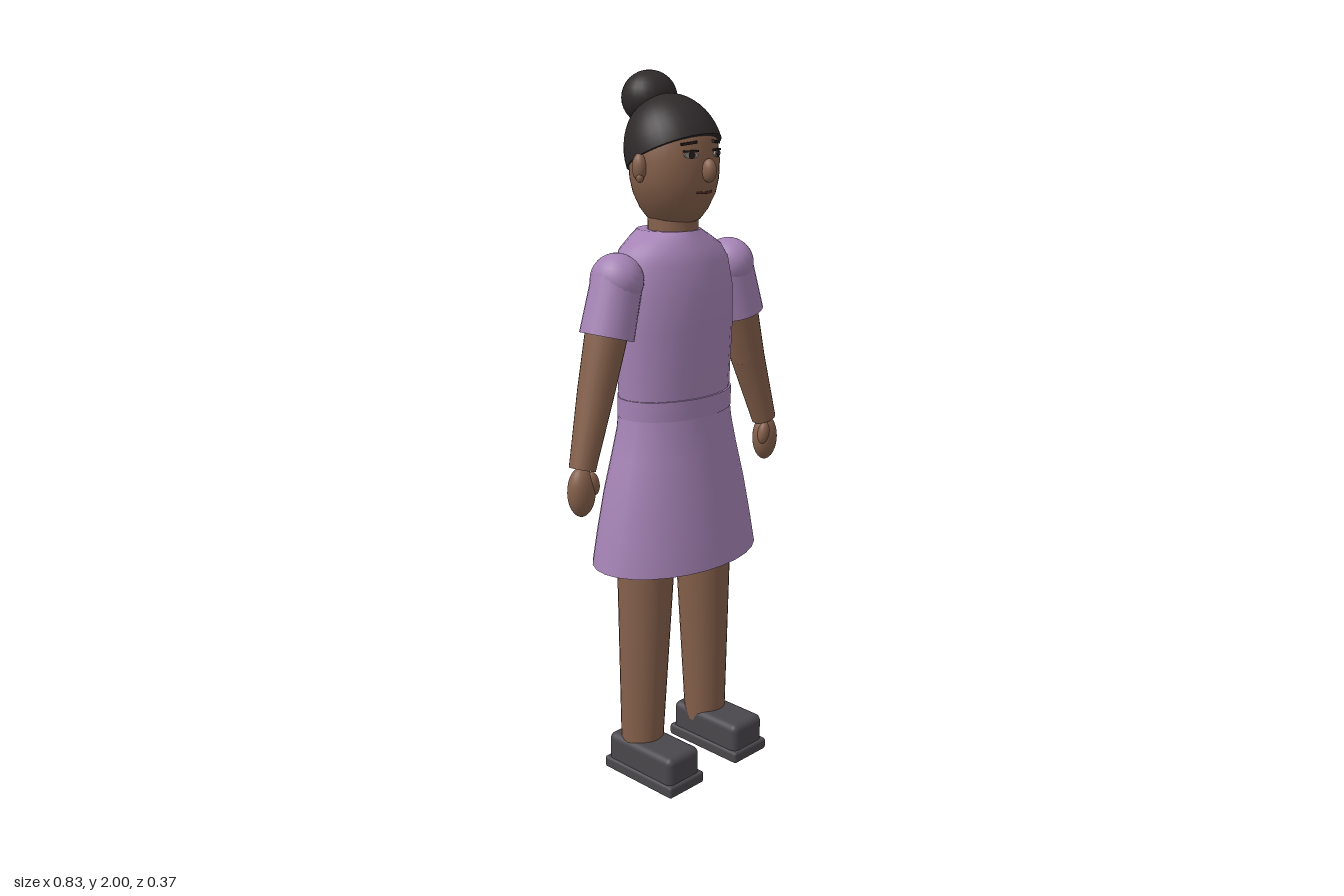
import * as THREE from 'three';
import { RoundedBoxGeometry } from 'three/addons/geometries/RoundedBoxGeometry.js';

const mat = (name, color) => {
  const m = new THREE.MeshStandardMaterial({ color });
  m.name = name;
  return m;
};

export function createModel() {
  const skin = mat('skin', 0x85604b);
  const cloth = mat('dressLilac', 0xa583b5);
  const hair = mat('hairBlack', 0x2f292a);
  const leather = mat('shoeGrey', 0x4a474c);
  const eyeGrey = mat('eyeGrey', 0x8c827c);
  const dark = mat('eyeDark', 0x231b19);
  const lip = mat('lipBrown', 0x5a352e);

  const model = new THREE.Group();
  model.name = 'woman';

  const add = (name, geo, material, pos = [0, 0, 0], parent = model) => {
    const mesh = new THREE.Mesh(geo, material);
    mesh.name = name;
    mesh.position.set(...pos);
    parent.add(mesh);
    return mesh;
  };
  const group = (name) => {
    const g = new THREE.Group();
    g.name = name;
    model.add(g);
    return g;
  };
  const ball = (name, radii, material, pos, parent) =>
    add(name, new THREE.SphereGeometry(1, 24, 16).scale(...radii), material, pos, parent);

  // Tapered round limb between two points
  const limb = (name, a, b, ra, rb, material, parent) => {
    const p = new THREE.Vector3(...a), q = new THREE.Vector3(...b);
    const dir = p.clone().sub(q);
    const mesh = add(name, new THREE.CylinderGeometry(ra, rb, dir.length(), 24), material,
      p.clone().add(q).multiplyScalar(0.5).toArray(), parent);
    mesh.quaternion.setFromUnitVectors(new THREE.Vector3(0, 1, 0), dir.normalize());
    return mesh;
  };

  // Closed loft through oval rings [y, half width, front z, back z], bottom to top
  const loft = (rings, sides = 28) => {
    const pos = [], index = [];
    const ring = ([y, rx, zf, zb]) => {
      for (let i = 0; i <= sides; i++) {
        const t = (i / sides) * Math.PI * 2;
        pos.push(rx * Math.sin(t), y, (zf + zb) / 2 + ((zf - zb) / 2) * Math.cos(t));
      }
    };
    rings.forEach(ring);
    const w = sides + 1;
    for (let r = 0; r < rings.length - 1; r++) {
      for (let i = 0; i < sides; i++) {
        const a = r * w + i;
        index.push(a, a + 1, a + w + 1, a, a + w + 1, a + w);
      }
    }
    // Separate rings give the end caps a sharp edge
    [rings[0], rings[rings.length - 1]].forEach((end, top) => {
      const start = pos.length / 3;
      ring(end);
      for (let i = 1; i < sides - 1; i++) {
        if (top) index.push(start, start + i, start + i + 1);
        else index.push(start, start + i + 1, start + i);
      }
    });
    const geo = new THREE.BufferGeometry();
    geo.setAttribute('position', new THREE.Float32BufferAttribute(pos, 3));
    geo.setIndex(index);
    geo.computeVertexNormals();
    // Match the normals where each ring closes
    const n = geo.attributes.normal;
    rings.forEach((_, r) => {
      const a = r * w, b = a + sides;
      const v = new THREE.Vector3().fromBufferAttribute(n, a)
        .add(new THREE.Vector3().fromBufferAttribute(n, b)).normalize();
      n.setXYZ(a, v.x, v.y, v.z);
      n.setXYZ(b, v.x, v.y, v.z);
    });
    return geo;
  };

  // Dress
  add('skirt', loft([
    [0.655, 0.277, 0.186, -0.186], [0.75, 0.26, 0.173, -0.174], [0.86, 0.238, 0.156, -0.158],
    [0.97, 0.209, 0.138, -0.14], [1.04, 0.192, 0.128, -0.129], [1.1, 0.184, 0.123, -0.125],
  ]), cloth);
  add('belt', loft([[1.08, 0.188, 0.127, -0.128], [1.135, 0.188, 0.127, -0.128]]), cloth);
  add('bodice', loft([
    [1.09, 0.183, 0.119, -0.122], [1.2, 0.188, 0.122, -0.125], [1.32, 0.195, 0.126, -0.13],
    [1.42, 0.196, 0.124, -0.131], [1.5, 0.187, 0.108, -0.129], [1.535, 0.167, 0.093, -0.125],
    [1.565, 0.12, 0.076, -0.119], [1.583, 0.086, 0.066, -0.113],
  ]), cloth);

  // Neck and head
  add('neck', new THREE.CylinderGeometry(0.068, 0.072, 0.16, 24), skin, [0, 1.57, -0.008]);
  add('head', loft([
    [1.602, 0.045, 0.052, -0.06], [1.612, 0.066, 0.072, -0.08], [1.64, 0.09, 0.092, -0.099],
    [1.68, 0.112, 0.109, -0.114], [1.72, 0.123, 0.116, -0.121], [1.77, 0.126, 0.117, -0.123],
    [1.82, 0.119, 0.111, -0.117], [1.86, 0.103, 0.096, -0.102], [1.9, 0.07, 0.064, -0.07],
    [1.922, 0.025, 0.022, -0.028],
  ], 32), skin);
  ball('nose', [0.018, 0.031, 0.022], skin, [0, 1.746, 0.125]);

  // Hair: a tilted cap, higher at the forehead, with a bun
  const cap = group('hairCap');
  cap.position.set(0, 1.785, -0.003);
  cap.rotation.x = -0.43;
  add('hairDome', new THREE.SphereGeometry(1, 32, 12, 0, Math.PI * 2, 0, Math.PI / 2)
    .scale(0.133, 0.16, 0.134), hair, [0, 0, 0], cap);
  add('hairUnderside', new THREE.CircleGeometry(1, 32).rotateX(Math.PI / 2)
    .scale(0.133, 1, 0.134), hair, [0, 0, 0], cap);
  ball('hairBun', [0.079, 0.073, 0.073], hair, [0, 1.927, -0.096]);

  // Thin plates laid on the face
  const plate = (name, geo, material, x, y, z) => {
    const mesh = add(name, geo, material, [x, y, z]);
    mesh.rotation.y = x * 8;
    return mesh;
  };
  const disc = (rx, ry, d) =>
    new THREE.CylinderGeometry(1, 1, d, 20).rotateX(Math.PI / 2).scale(rx, ry, 1);

  for (const s of [-1, 1]) {
    const side = s > 0 ? 'left' : 'right';

    // Eyes, brows and ears
    plate(side + 'Eye', disc(0.02, 0.009, 0.006), eyeGrey, s * 0.049, 1.787, 0.107);
    plate(side + 'Pupil', disc(0.009, 0.009, 0.008), dark, s * 0.049, 1.787, 0.108);
    plate(side + 'Lid', new THREE.BoxGeometry(0.042, 0.005, 0.009), dark, s * 0.049, 1.797, 0.106);
    plate(side + 'Brow', new THREE.BoxGeometry(0.045, 0.007, 0.009), dark, s * 0.051, 1.817, 0.1)
      .rotation.z = -s * 0.12;
    ball(side + 'Ear', [0.018, 0.036, 0.021], skin, [s * 0.13, 1.755, -0.004]);
    ball(side + 'EarLobe', [0.01, 0.013, 0.01], skin, [s * 0.135, 1.728, 0.003]);

    // Arm with puffed sleeve
    const arm = group(side + 'Arm');
    ball('shoulderPuff', [0.068, 0.072, 0.076], cloth, [s * 0.219, 1.468, 0], arm);
    limb('sleeve', [s * 0.218, 1.47, 0], [s * 0.26, 1.322, 0.002], 0.069, 0.074, cloth, arm);
    limb('upperArm', [s * 0.24, 1.4, 0], [s * 0.304, 1.18, 0.004], 0.061, 0.05, skin, arm);
    ball('elbow', [0.05, 0.05, 0.05], skin, [s * 0.304, 1.18, 0.004], arm);
    limb('forearm', [s * 0.304, 1.18, 0.004], [s * 0.368, 0.983, 0.016], 0.05, 0.036, skin, arm);
    ball('hand', [0.041, 0.069, 0.034], skin, [s * 0.373, 0.923, 0.017], arm);
    ball('thumb', [0.018, 0.034, 0.017], skin, [s * 0.347, 0.944, 0.034], arm)
      .rotation.z = -s * 0.2;

    // Leg and shoe
    const leg = group(side + 'Leg');
    limb('leg', [s * 0.117, 0.7, 0], [s * 0.135, 0.08, -0.003], 0.084, 0.061, skin, leg);
    add('shoeUpper', new RoundedBoxGeometry(0.126, 0.1, 0.256, 3, 0.02), leather,
      [s * 0.138, 0.064, 0.048], leg);
    add('shoeSole', new RoundedBoxGeometry(0.14, 0.035, 0.274, 2, 0.008), leather,
      [s * 0.138, 0.0175, 0.048], leg);

    // Half of the mouth
    plate(side + 'Lip', new THREE.BoxGeometry(0.028, 0.006, 0.006), lip, s * 0.014, 1.688, 0.109)
      .rotation.z = s * 0.08;
  }
  return model;
}
